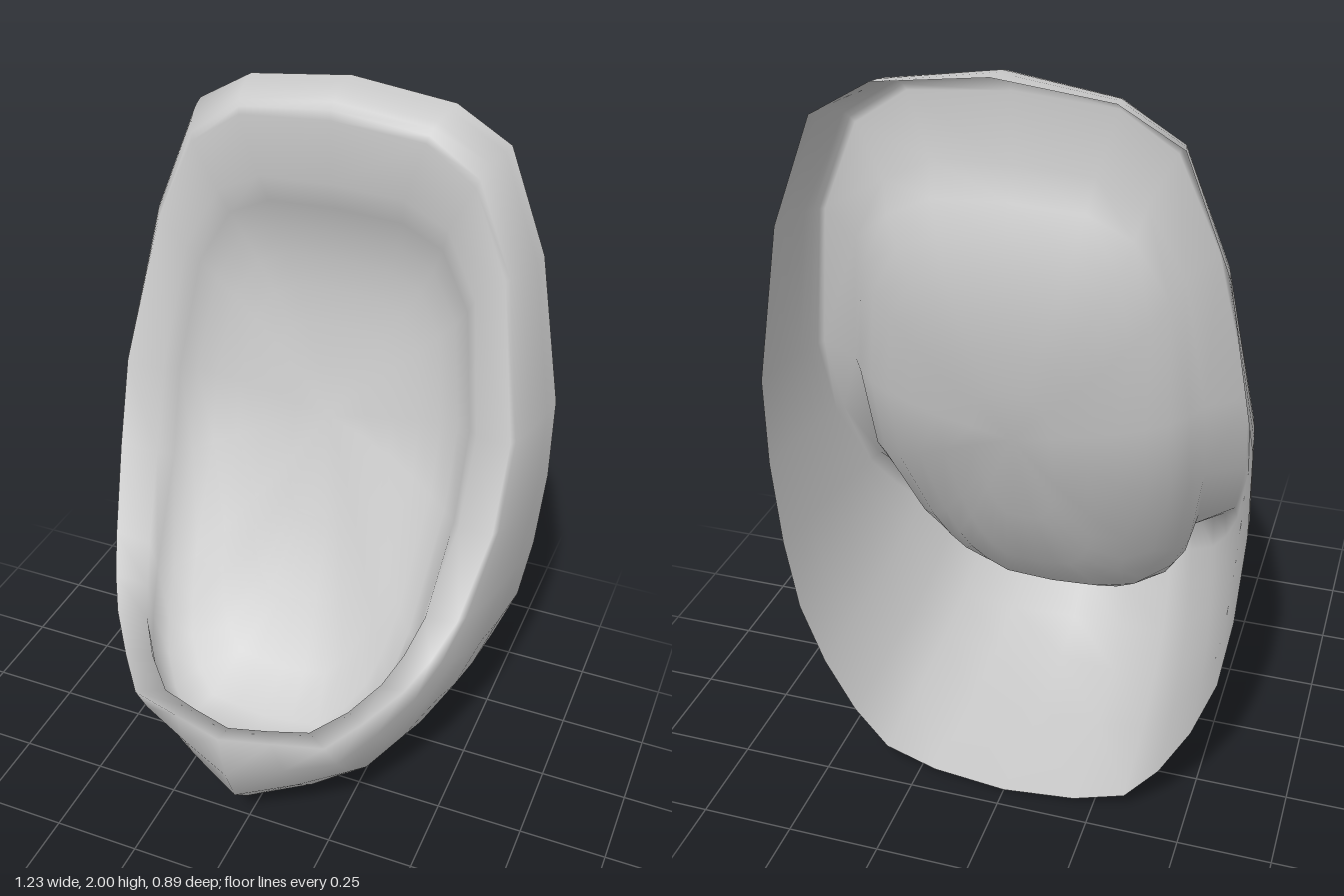
import * as THREE from 'three';
import { mergeVertices } from 'three/addons/utils/BufferGeometryUtils.js';

const BACK_Z = -0.445;
const OUTER_STEPS = 6, INNER_STEPS = 7;
const { lerp, clamp } = THREE.MathUtils;
const V = (x, y, z) => new THREE.Vector3(x, y, z);

// Half outline from top centre to bottom centre:
// back edge x, y | rim crest x, y, z | inner lip x, y, z
const COLUMNS = [
  [0, 2, 0, 1.93, -0.3, 0, 1.76, -0.305],
  [0.28, 1.967, 0.25, 1.91, -0.3, 0.2, 1.75, -0.305],
  [0.43, 1.88, 0.385, 1.82, -0.295, 0.32, 1.69, -0.305],
  [0.54, 1.6, 0.485, 1.59, -0.28, 0.41, 1.52, -0.285],
  [0.615, 1.18, 0.56, 1.18, -0.19, 0.46, 1.16, -0.22],
  [0.617, 0.94, 0.555, 0.94, -0.11, 0.455, 0.92, -0.14],
  [0.6, 0.7, 0.515, 0.73, 0.02, 0.42, 0.7, 0],
  [0.57, 0.5, 0.475, 0.65, 0.11, 0.39, 0.615, 0.08],
  [0.51, 0.33, 0.43, 0.59, 0.19, 0.355, 0.56, 0.155],
  [0.43, 0.18, 0.355, 0.535, 0.29, 0.295, 0.515, 0.245],
  [0.34, 0.07, 0.28, 0.495, 0.38, 0.215, 0.48, 0.325],
  [0.2, 0.022, 0.14, 0.487, 0.412, 0.11, 0.472, 0.355],
  [0, 0, 0, 0.48, 0.445, 0, 0.465, 0.38],
];

// Tangent plane of the back wall around its middle
const WALL_Y = 1.05;
const wallZ = (y) => -0.33 - 0.25 * (y - WALL_Y);

// One section: back edge, around the outside, over the rim, down into the bowl
function section([bx, by, cx, cy, cz, lx, ly, lz]) {
  const drop = Math.max(0, cy - by);
  // low: 0 along the upper rim, 1 at the front of the bowl
  const low = clamp((0.95 - ly) / 0.47, 0, 1);
  const high = clamp((ly - WALL_Y) / 0.7, 0, 1);
  // The outside is full along the centre line and flatter at the sides
  const bulge = lerp(1, 0.6, clamp(cx / 0.3, 0, 1));
  const back = V(bx, by, BACK_Z), crest = V(cx, cy, cz);
  const fullBack = V(lerp(cx, bx, 0.8), by, lerp(BACK_Z, cz, lerp(0.7, 0.88, low)));
  const fullCrest = V(lerp(cx, bx, 0.3), lerp(cy, by, 0.83), cz - 0.18 * drop);
  const outside = new THREE.CubicBezierCurve3(
    back,
    back.clone().lerp(crest, 1 / 3).lerp(fullBack, bulge),
    crest.clone().lerp(back, 1 / 3).lerp(fullCrest, bulge),
    crest
  );
  const innerY = lerp(ly - 0.17 * low, WALL_Y, 0.5 * (1 - low));
  const inside = new THREE.CubicBezierCurve3(
    V(lx, ly, lz),
    V(
      lx * lerp(0.88, 0.97, low),
      ly - 0.36 * Math.sqrt(low) - 0.19 * high,
      lerp(-0.31, 0.345, low) - 0.09 * high
    ),
    V(lx * 0.55, innerY, wallZ(innerY)),
    V(0, WALL_Y, wallZ(WALL_Y))
  );
  return [...outside.getPoints(OUTER_STEPS), ...inside.getPoints(INNER_STEPS)];
}

function shellGeometry() {
  // Mirror the half outline into a closed loop of sections
  const half = COLUMNS.map(section);
  const mirrored = half.slice(1, -1).reverse().map((s) => s.map((p) => V(-p.x, p.y, p.z)));
  const loop = [...half, ...mirrored];
  const rows = loop[0].length;
  const positions = loop.flat().flatMap((p) => p.toArray());
  const index = [];
  for (let i = 0; i < loop.length; i++) {
    const next = (i + 1) % loop.length;
    for (let s = 0; s < rows - 1; s++) {
      const a = i * rows + s, b = next * rows + s;
      index.push(a, a + 1, b);
      // the last row closes to a point
      if (s < rows - 2) index.push(b, a + 1, b + 1);
    }
  }
  let geometry = new THREE.BufferGeometry();
  geometry.setAttribute('position', new THREE.Float32BufferAttribute(positions, 3));
  geometry.setIndex(index);
  geometry = mergeVertices(geometry, 1e-4);
  geometry.computeVertexNormals();
  return geometry;
}

export function createModel() {
  const group = new THREE.Group();
  group.name = 'urinal';
  // Thin ceramic shell with an open back
  const ceramic = new THREE.MeshStandardMaterial({ color: 0xcccccc, side: THREE.DoubleSide });
  const shell = new THREE.Mesh(shellGeometry(), ceramic);
  shell.name = 'bowlShell';
  group.add(shell);
  return group;
}
